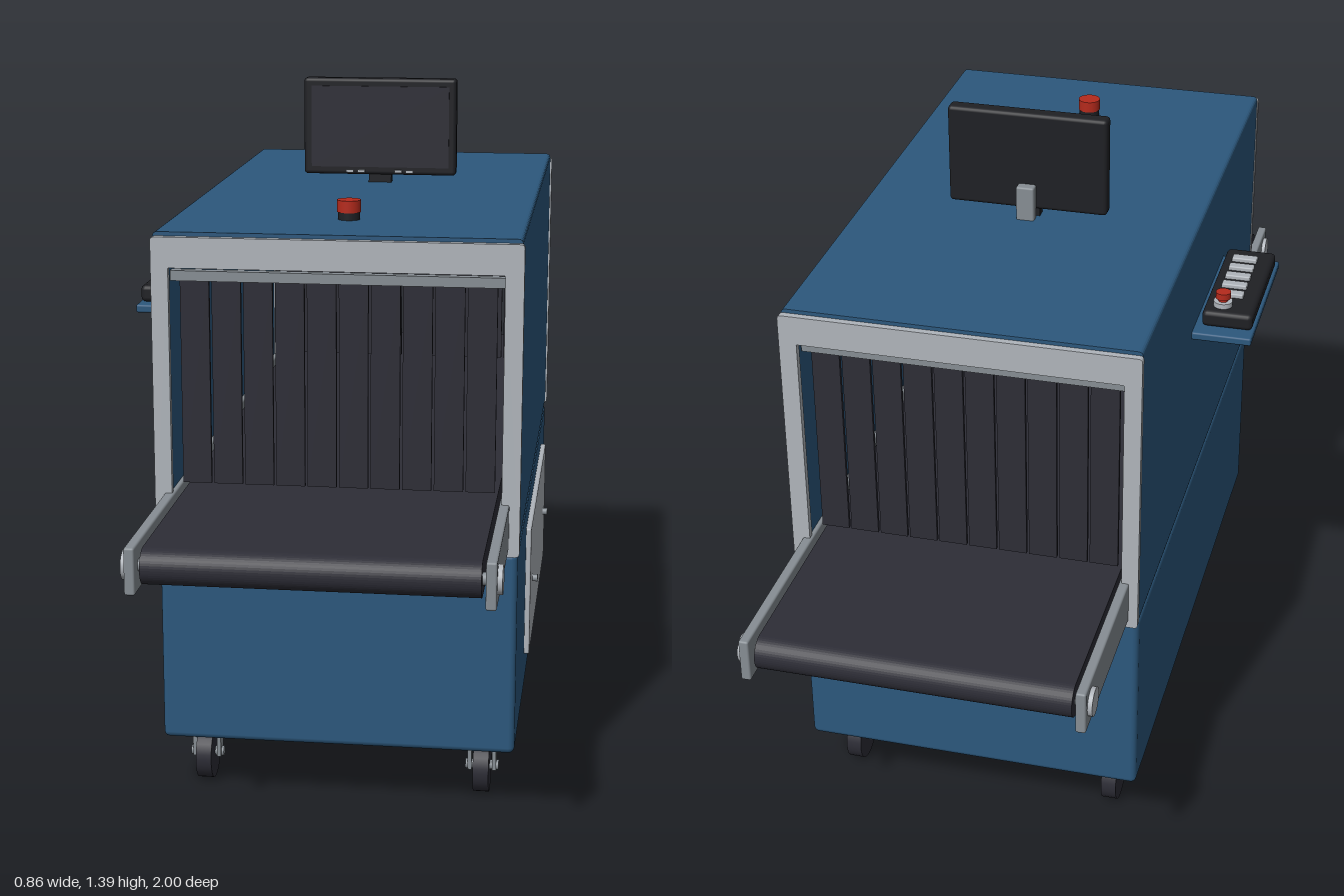
import * as THREE from 'three';
import { RoundedBoxGeometry } from 'three/addons/geometries/RoundedBoxGeometry.js';

const mat = (name, color) => {
  const m = new THREE.MeshStandardMaterial({ color });
  m.name = name;
  return m;
};

// Rectangle outline with small rounded corners
function roundRect(Type, x0, x1, y0, y1, r) {
  const s = new Type();
  s.moveTo(x0 + r, y0);
  s.lineTo(x1 - r, y0).quadraticCurveTo(x1, y0, x1, y0 + r);
  s.lineTo(x1, y1 - r).quadraticCurveTo(x1, y1, x1 - r, y1);
  s.lineTo(x0 + r, y1).quadraticCurveTo(x0, y1, x0, y1 - r);
  s.lineTo(x0, y0 + r).quadraticCurveTo(x0, y0, x0 + r, y0);
  return s;
}

export function createModel() {
  const blue = mat('blue paint', 0x2c587d);
  const light = mat('light grey metal', 0xb0b5bb);
  const steel = mat('steel grey', 0x878e94);
  const rubber = mat('dark rubber', 0x2d2d36);
  const black = mat('black plastic', 0x1f2024);
  const red = mat('red button', 0xb52a1c);

  const root = new THREE.Group();
  root.name = 'baggageScanner';
  const CX = 0.05; // the cabinet sits slightly off centre

  const add = (name, geo, material, x = 0, y = 0, z = 0, parent = root) => {
    const m = new THREE.Mesh(geo, material);
    m.name = name;
    m.position.set(x, y, z);
    parent.add(m);
    return m;
  };
  // Box given by its limits; r rounds its edges
  const box = (name, material, x0, x1, y0, y1, z0, z1, r = 0, parent = root) => {
    const s = [x1 - x0, y1 - y0, z1 - z0];
    const geo = r ? new RoundedBoxGeometry(...s, 2, r) : new THREE.BoxGeometry(...s);
    return add(name, geo, material, (x0 + x1) / 2, (y0 + y1) / 2, (z0 + z1) / 2, parent);
  };
  const cyl = (name, material, r, h, x, y, z, axis = 'y', parent = root, seg = 28) => {
    const geo = new THREE.CylinderGeometry(r, r, h, seg);
    if (axis === 'x') geo.rotateZ(Math.PI / 2);
    return add(name, geo, material, x, y, z, parent);
  };
  // Ring-shaped extrusion along z around the tunnel opening
  const tunnel = (name, material, outer, inner, z0, z1) => {
    const s = roundRect(THREE.Shape, ...outer);
    s.holes.push(roundRect(THREE.Path, ...inner));
    const geo = new THREE.ExtrudeGeometry(s, { depth: z1 - z0, bevelEnabled: false, curveSegments: 4 });
    return add(name, geo, material, 0, 0, z0);
  };

  // Lower cabinet and open tunnel hood
  box('lowerCabinet', blue, -0.305, 0.405, 0.125, 0.542, -0.62, 0.62, 0.012);
  tunnel('tunnelHood', blue, [-0.305, 0.405, 0.542, 1.163, 0.01], [-0.277, 0.377, 0.553, 1.097, 0.002], -0.626, 0.626);

  for (const s of [1, -1]) {
    // Grey end frame
    const a = s * 0.626, b = s * 0.64;
    tunnel('endFrame', light, [-0.307, 0.409, 0.542, 1.155, 0.008], [-0.273, 0.373, 0.553, 1.095, 0.002],
      Math.min(a, b), Math.max(a, b));

    // Curtain rail with hanging strips
    box('curtainRail', steel, -0.275, 0.375, 1.065, 1.085, s * 0.6 - 0.01, s * 0.6 + 0.01);
    for (let i = 0; i < 10; i++) {
      const x = CX - 0.279 + i * 0.062;
      box('curtainStrip', rubber, x - 0.0285, x + 0.0285, 0.66, 1.068, s * 0.6 - 0.004, s * 0.6 + 0.004);
    }
  }

  // Conveyor belt: stadium section swept across the width
  const R = 0.035, L = 0.96, beltY = 0.604;
  const belt = new THREE.Shape();
  belt.moveTo(-L, -R).lineTo(L, -R);
  belt.absarc(L, 0, R, -Math.PI / 2, Math.PI / 2, false);
  belt.lineTo(-L, R);
  belt.absarc(-L, 0, R, Math.PI / 2, Math.PI * 1.5, false);
  const beltGeo = new THREE.ExtrudeGeometry(belt, { depth: 0.62, bevelEnabled: false, curveSegments: 12 });
  beltGeo.translate(0, 0, -0.31).rotateY(Math.PI / 2);
  add('conveyorBelt', beltGeo, rubber, CX, beltY, 0);

  // Side rails and roller end caps
  for (const s of [1, -1]) {
    const x = CX + s * 0.328;
    box('conveyorRail', steel, x - 0.01, x + 0.01, 0.557, 0.647, -1, 1, 0.004);
    for (const e of [1, -1]) {
      cyl('rollerAxle', steel, 0.012, 0.03, CX + s * 0.312, beltY, e * 0.96, 'x');
      cyl('rollerCap', light, 0.028, 0.012, CX + s * 0.341, beltY, e * 0.96, 'x');
    }
  }

  // Castors
  for (const x of [-0.235, 0.335]) {
    for (const z of [-0.51, 0.51]) {
      const g = new THREE.Group();
      g.name = 'castor';
      g.position.set(x, 0, z);
      root.add(g);
      cyl('castorWheel', rubber, 0.055, 0.032, 0, 0.055, 0, 'x', g, 32);
      cyl('castorAxle', steel, 0.01, 0.068, 0, 0.055, 0, 'x', g);
      box('castorPlate', steel, -0.03, 0.03, 0.113, 0.128, -0.025, 0.025, 0, g);
      for (const s of [1, -1]) {
        box('castorFork', steel, s * 0.025 - 0.004, s * 0.025 + 0.004, 0.048, 0.118, -0.015, 0.015, 0, g);
      }
    }
  }

  // Service panel with two screws
  box('servicePanel', light, 0.4, 0.416, 0.208, 0.487, -0.43, 0.27, 0.004);
  for (const z of [0.17, -0.33]) cyl('panelScrew', steel, 0.008, 0.014, 0.42, 0.347, z, 'x');

  // Monitor on its stand
  box('monitorCase', black, -0.117, 0.219, 1.18, 1.391, -0.118, -0.084, 0.008);
  box('monitorScreen', rubber, -0.1, 0.203, 1.197, 1.374, -0.088, -0.082);
  box('monitorStand', steel, 0.032, 0.07, 1.16, 1.236, -0.14, -0.116, 0.004);
  box('monitorFoot', black, 0.026, 0.076, 1.16, 1.183, -0.112, -0.09);
  for (const x of [-0.015, 0.01, 0.092, 0.117]) {
    box('monitorButton', light, x - 0.008, x + 0.008, 1.185, 1.191, -0.087, -0.08);
  }

  // Emergency stop on the roof
  cyl('stopCollar', black, 0.022, 0.018, CX, 1.17, 0.43);
  cyl('stopButton', red, 0.024, 0.024, CX, 1.19, 0.43);

  // Control shelf and keypad
  box('controlShelf', blue, -0.43, -0.3, 0.923, 0.94, -0.13, 0.24, 0.004);
  box('keypad', black, -0.426, -0.319, 0.94, 0.976, -0.098, 0.21, 0.01);
  for (let i = 0; i < 5; i++) {
    const z = -0.013 + i * 0.042;
    box('key', light, -0.393, -0.339, 0.97, 0.985, z - 0.011, z + 0.011, 0.003);
  }
  cyl('keypadStopCollar', light, 0.02, 0.014, -0.357, 0.98, -0.06);
  cyl('keypadStopStem', red, 0.01, 0.014, -0.357, 0.991, -0.06);
  cyl('keypadStopButton', red, 0.016, 0.014, -0.357, 1.001, -0.06);

  return root;
}
